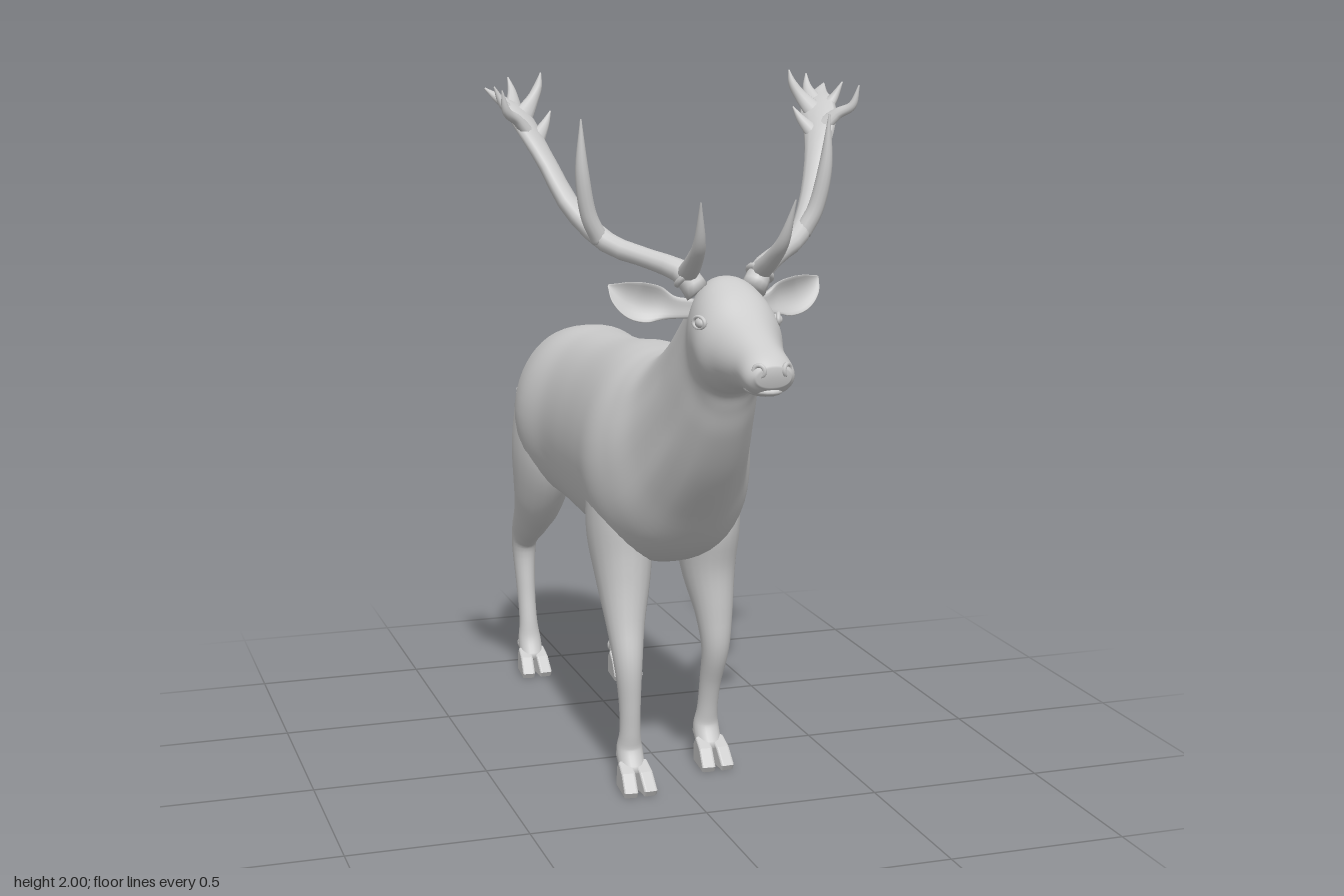
import * as THREE from 'three';

const V = (x, y, z) => new THREE.Vector3(x, y, z);
const grey = new THREE.MeshStandardMaterial({ color: 0xcccccc });

function mesh(name, geometry, parent) {
  const m = new THREE.Mesh(geometry, grey);
  m.name = name;
  parent.add(m);
  return m;
}

// Skin a list of equally sized rings and close both ends
function loft(rings) {
  const n = rings[0].length, last = rings.length - 1, pos = [], idx = [];
  const centre = r => r.reduce((s, p) => s.add(p), V(0, 0, 0)).divideScalar(n);
  for (const p of [...rings.flat(), centre(rings[0]), centre(rings[last])]) pos.push(p.x, p.y, p.z);
  const c0 = rings.length * n;
  for (let j = 0; j < n; j++) {
    const k = (j + 1) % n;
    for (let i = 0; i < last; i++) {
      const a = i * n, b = a + n;
      idx.push(a + j, a + k, b + k, a + j, b + k, b + j);
    }
    idx.push(c0, k, j, c0 + 1, last * n + j, last * n + k);
  }
  const g = new THREE.BufferGeometry();
  g.setAttribute('position', new THREE.Float32BufferAttribute(pos, 3));
  g.setIndex(idx);
  g.computeVertexNormals();
  return g;
}

// Tapering limb through points [x, y, z, a, b]; a lies along ref x tangent, b across it
function limb(pts, { ref = V(0, 0, 1), steps = 28, sides = 16, cup = 0 } = {}) {
  const path = new THREE.CatmullRomCurve3(pts.map(p => V(p[0], p[1], p[2])), false, 'catmullrom', 0.5);
  const size = new THREE.CatmullRomCurve3(pts.map(p => V(p[3], p[4] ?? p[3], 0)), false, 'catmullrom', 0.5);
  const rings = [];
  for (let i = 0; i <= steps; i++) {
    const u = i / steps, c = path.getPoint(u), r = size.getPoint(u), t = path.getTangent(u);
    const side = ref.clone().cross(t).normalize(), up = t.clone().cross(side);
    rings.push(Array.from({ length: sides }, (_, j) => {
      const q = j / sides * Math.PI * 2, cs = Math.cos(q);
      return c.clone().addScaledVector(side, Math.max(r.x, 0.002) * cs)
        .addScaledVector(up, Math.max(r.y, 0.002) * Math.sin(q) + cup * r.x * cs * cs);
    }));
  }
  return loft(rings);
}

// Trunk, neck and head in one skin: [top z, top y, bottom z, bottom y, half width]
function bodyGeometry() {
  const s = [
    [-.95, 1.0, -.94, .93, .03], [-.915, 1.07, -.89, .8, .115], [-.81, 1.145, -.82, .72, .19],
    [-.62, 1.19, -.66, .66, .235], [-.46, 1.195, -.46, .64, .208], [-.25, 1.205, -.25, .635, .213],
    [-.02, 1.235, 0, .635, .228], [.1, 1.24, .17, .63, .235], [.19, 1.24, .31, .69, .208],
    [.27, 1.255, .43, .82, .165], [.37, 1.32, .54, .95, .132], [.46, 1.395, .62, 1.07, .113],
    [.55, 1.47, .66, 1.15, .104], [.63, 1.5, .69, 1.2, .112], [.72, 1.475, .74, 1.215, .115],
    [.8, 1.42, .8, 1.235, .093], [.88, 1.38, .88, 1.245, .071], [.95, 1.348, .945, 1.245, .066],
    [.985, 1.32, .975, 1.27, .045]];
  const curve = (a, b) => new THREE.CatmullRomCurve3(s.map(p => V(p[4], p[b], p[a])), false, 'catmullrom', 0.5);
  const top = curve(0, 1), bottom = curve(2, 3), rings = [], n = 48, steps = 108;
  const pw = v => Math.sign(v) * Math.abs(v) ** 0.88;
  for (let i = 0; i <= steps; i++) {
    const a = top.getPoint(i / steps), b = bottom.getPoint(i / steps);
    const neck = Math.max(0, 1 - Math.abs(a.z - .38) / .2);
    rings.push(Array.from({ length: n }, (_, j) => {
      const q = j / n * Math.PI * 2, sn = Math.sin(q), p = b.clone().lerp(a, (pw(sn) + 1) / 2);
      const fold = 1 + .035 * neck * Math.cos(q * 10);
      p.x = a.x * pw(Math.cos(q)) * (1 - .14 * Math.max(sn, 0)) * fold;
      return p;
    }));
  }
  return loft(rings);
}

// Cloven foot: two bevelled toes and two dewclaws
function addFoot(parent, x, z) {
  const foot = new THREE.Group();
  foot.name = 'hoof';
  foot.position.set(x, 0, z);
  parent.add(foot);
  const profile = new THREE.Shape([[-.045, .006], [.05, .006], [.056, .016], [.02, .056], [-.02, .075], [-.042, .055]]
    .map(p => new THREE.Vector2(...p)));
  for (const s of [-1, 1]) {
    const g = new THREE.ExtrudeGeometry(profile, { depth: .026, bevelThickness: .007, bevelSize: .006, bevelSegments: 3 });
    g.translate(0, 0, -.013).rotateY(-Math.PI / 2);
    const toe = mesh('toe', g, foot);
    toe.position.x = s * .024;
    toe.rotation.y = s * .08;
    const claw = mesh('dewclaw', new THREE.SphereGeometry(.014, 10, 8), foot);
    claw.scale.set(.9, 1.3, 1.1);
    claw.position.set(s * .022, .085, -.07);
  }
}

function addLegs(parent, s) {
  // Lower joints of the two sides are staggered in z
  const f = s > 0 ? 0 : 1;
  mesh('frontLeg', limb([
    [.125, .92, .1, .085, .13], [.13, .74, .11, .092, .135], [.132, .6, .12 + .03 * f, .078, .098],
    [.14, .47, .15 + .05 * f, .055, .06], [.143, .36, .158 + .078 * f, .04, .044],
    [.14, .25, .125 + .115 * f, .031, .034], [.138, .16, .105 + .13 * f, .03, .03],
    [.137, .1, .097 + .13 * f, .038, .036], [.137, .04, .14 + .13 * f, .036, .03]
  ].map(p => [p[0] * s, ...p.slice(1)]), { steps: 40, sides: 20 }), parent);
  addFoot(parent, .137 * s, .15 + .13 * f);
  mesh('hindLeg', limb([
    [.125, .96, -.69, .09, .17], [.135, .8, -.7, .094, .18], [.138, .66, -.735 - .01 * f, .08, .135],
    [.14, .56, -.8 - .02 * f, .06, .09], [.142, .48, -.87 - .035 * f, .045, .066],
    [.143, .41, -.89 - .045 * f, .038, .048], [.142, .28, -.84 - .08 * f, .03, .036],
    [.14, .17, -.795 - .105 * f, .029, .031], [.138, .1, -.772 - .12 * f, .037, .035],
    [.138, .04, -.735 - .12 * f, .036, .03]
  ].map(p => [p[0] * s, ...p.slice(1)]), { steps: 44, sides: 20 }), parent);
  addFoot(parent, .138 * s, -.73 - .12 * f);
}

function addAntler(parent, s) {
  const antler = new THREE.Group();
  antler.name = s > 0 ? 'leftAntler' : 'rightAntler';
  parent.add(antler);
  const add = (name, pts) => mesh(name, limb(pts.map(p => [p[0] * s, ...p.slice(1)]),
    { ref: V(.495 * s, -.66, -.44), steps: 24, sides: 12 }), antler);
  add('beam', [[.075, 1.46, .625, .034], [.11, 1.51, .6, .031], [.18, 1.54, .535, .026], [.265, 1.575, .455, .028],
    [.335, 1.66, .365, .032, .026], [.38, 1.77, .29, .034, .022], [.415, 1.855, .225, .048, .02],
    [.43, 1.9, .165, .05, .017], [.455, 1.925, .11, .03, .013], [.49, 1.955, .065, .003]]);
  const ring = mesh('burr', new THREE.TorusGeometry(.031, .009, 8, 20), antler);
  ring.position.set(.1 * s, 1.5, .608);
  ring.rotation.set(-Math.PI / 2 - .5, s * .6, 0);
  const tines = [
    [[.1, 1.505, .61, .028], [.105, 1.545, .68, .023], [.112, 1.6, .745, .016], [.125, 1.705, .792, .002]],
    [[.28, 1.58, .445, .024], [.315, 1.65, .455, .022], [.335, 1.76, .468, .018], [.34, 1.895, .477, .002]],
    [[.41, 1.84, .235, .03, .018], [.45, 1.88, .258, .019, .014], [.485, 1.905, .285, .012], [.5, 1.96, .297, .002]],
    [[.43, 1.88, .19, .03, .015], [.47, 1.92, .185, .015, .012], [.495, 1.965, .19, .002]],
    [[.42, 1.88, .185, .03, .015], [.385, 1.925, .16, .018, .013], [.365, 1.96, .145, .012], [.355, 1.998, .14, .002]],
    [[.43, 1.9, .15, .03, .015], [.425, 1.945, .105, .014, .011], [.43, 1.985, .08, .002]],
    [[.4, 1.82, .245, .025, .015], [.365, 1.865, .215, .013, .011], [.345, 1.9, .2, .002]]];
  tines.forEach((t, i) => add(i === 0 ? 'browTine' : 'tine', t));
}

function addFace(parent, s) {
  mesh('ear', limb([[.07, 1.415, .59, .025, .022], [.125, 1.418, .575, .03, .02], [.17, 1.428, .56, .048, .013],
    [.22, 1.436, .55, .05, .01], [.26, 1.455, .545, .034, .007], [.288, 1.476, .54, .003]]
    .map(p => [p[0] * s, ...p.slice(1)]), { steps: 24, sides: 20, cup: .55 }), parent);
  const eye = mesh('eye', new THREE.SphereGeometry(.02, 16, 12), parent);
  eye.position.set(.1 * s, 1.397, .728);
  eye.scale.set(.8, .75, 1.1);
  const lid = mesh('eyelid', new THREE.TorusGeometry(.022, .006, 8, 20), parent);
  lid.position.set(.106 * s, 1.398, .728);
  lid.rotation.y = s * 1.2;
  lid.scale.y = .7;
  const nostril = mesh('nostril', new THREE.TorusGeometry(.014, .006, 8, 16), parent);
  nostril.position.set(.036 * s, 1.312, .972);
  nostril.rotation.y = s * .7;
}

export function createModel() {
  const deer = new THREE.Group();
  deer.name = 'deer';
  mesh('body', bodyGeometry(), deer);
  mesh('tail', limb([[0, 1.06, -.87, .05, .03], [0, .99, -.94, .042, .022], [0, .92, -.955, .03, .016],
    [0, .86, -.963, .004]]), deer);
  // Belly sheath and lower lip
  const sheath = mesh('sheath', new THREE.SphereGeometry(1, 20, 14), deer);
  sheath.scale.set(.05, .045, .19);
  sheath.position.set(0, .637, -.4);
  const lip = mesh('lowerLip', new THREE.SphereGeometry(1, 20, 12), deer);
  lip.scale.set(.047, .017, .07);
  lip.position.set(0, 1.256, .905);
  for (const s of [1, -1]) {
    addLegs(deer, s);
    addAntler(deer, s);
    addFace(deer, s);
  }
  return deer;
}
